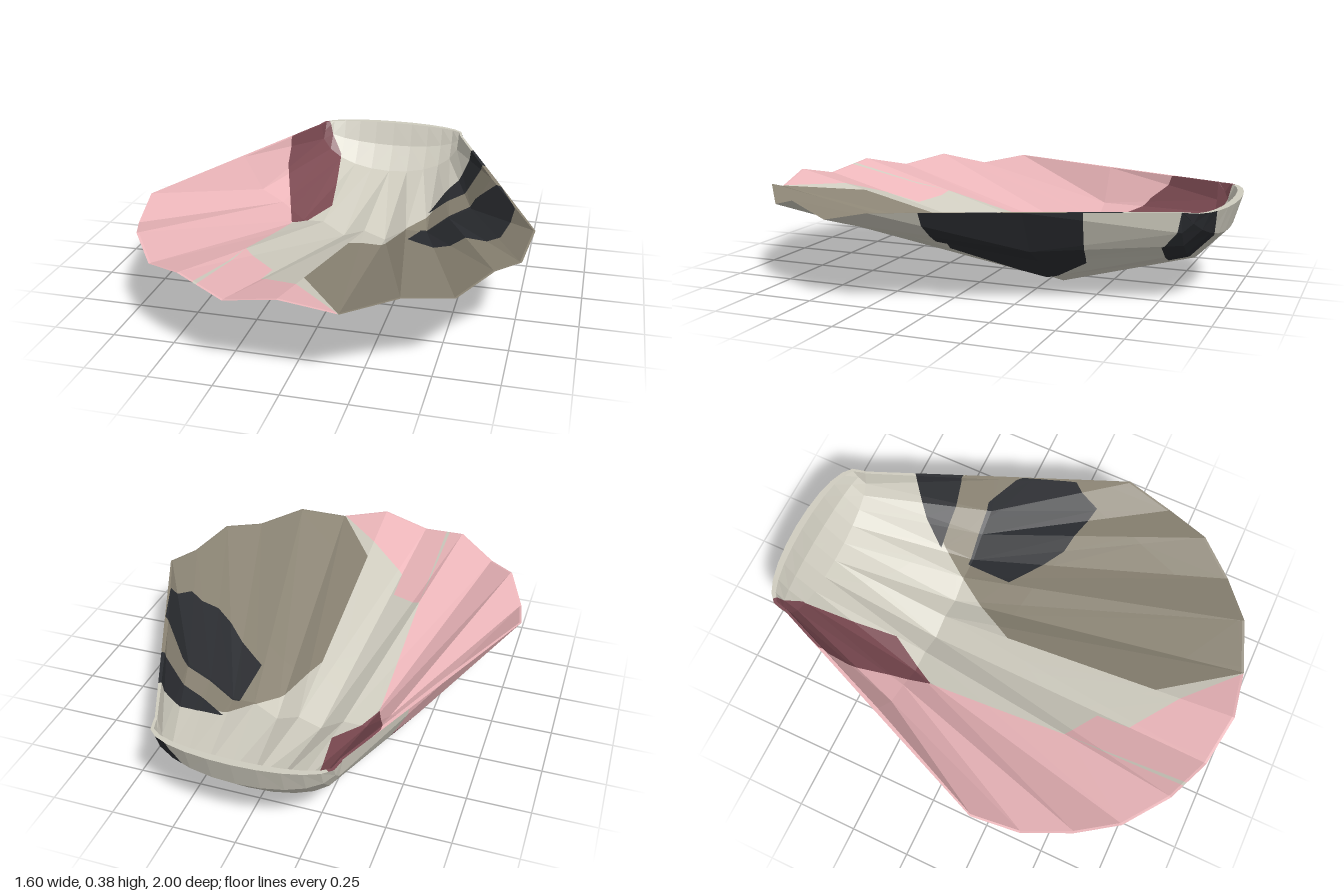
import * as THREE from 'three';

const COLORS = { cream: 0xcfccbf, khaki: 0x8b8474, navy: 0x2b2d31, pink: 0xecb6ba, wine: 0x7c4a52 };
const N = 6; // ribs on each side of the middle

// Colour patches as convex outlines in plan [x, z]; earlier ones lie on top
const INNER_PATCHES = [
  ['wine', [[-0.34, -0.93], [-0.25, -0.86], [-0.19, -0.45], [-0.32, -0.22], [-0.43, -0.54], [-0.44, -0.65]]],
  ['navy', [[0.26, -0.32], [0.5, -0.33], [0.62, -0.22], [0.7, 0], [0.66, 0.12], [0.45, 0.06], [0.24, -0.11]]],
  ['navy', [[0.27, -0.46], [0.34, -0.56], [0.45, -0.66], [0.56, -0.46]]],
  ['pink', [[-1, 1.1], [-1, -0.95], [-0.35, -0.92], [-0.3, -0.2], [-0.32, 0.4], [-0.32, 1.1]]],
  ['pink', [[-0.32, 0.4], [-0.18, 0.49], [-0.18, 1.1], [-0.32, 1.1]]],
  ['pink', [[-0.18, 0.63], [0, 0.77], [0.21, 0.97], [0.21, 1.1], [-0.18, 1.1]]],
  ['khaki', [[0, -0.05], [0.2, -0.33], [0.28, -0.46], [0.52, -0.46], [1, 0.2], [1, 1.1], [0.3, 1.1], [0.21, 0.97], [0, 0.77]]],
];
const OUTER_PATCHES = [
  ['navy', [[0.74, 0.04], [0.45, 0.04], [0.28, -0.3], [0.33, -0.48], [0.52, -0.52], [0.9, -0.05]]],
  ['navy', [[0.2, -0.77], [0.33, -0.77], [0.38, -0.9], [0.3, -0.97], [0.2, -0.94]]],
  ['wine', [[0, -0.05], [-0.2, 0.1], [-0.42, 0.02], [-0.5, -0.3], [-0.45, -0.5], [0, -0.42]]],
  ['pink', [[0, 1.1], [0, -0.35], [-0.3, -0.5], [-1, -0.5], [-1, 1.1]]],
];

// Rib points from the middle (0) to the side (6): scalloped lip and deepest section
const LIP = [[0, 0.375, 0.995], [0.21, 0.33, 0.965], [0.405, 0.375, 0.885], [0.575, 0.33, 0.755],
  [0.69, 0.375, 0.6], [0.77, 0.33, 0.41], [0.8, 0.375, 0.21]];
const BELLY = [[0, 0.037], [0.1, 0], [0.2, 0.065], [0.3, 0.063], [0.4, 0.15], [0.5, 0.21], [0.585, 0.375]];

// Outer cross-sections, front to back
function outerPoint(k, j) {
  const a = Math.abs(j), s = Math.sin(a * Math.PI / 12), c = Math.max(0, Math.cos(a * Math.PI / 12));
  const heel = new THREE.Vector3(0.36 * s, 0.375 - 0.235 * c ** 0.8, -0.85);
  const backRim = new THREE.Vector3(0.36 * s, 0.373, -0.86 - 0.14 * c ** 0.75);
  let p;
  if (k === 0) p = new THREE.Vector3(...LIP[a]);
  else if (k === 1) p = new THREE.Vector3(BELLY[a][0], BELLY[a][1], -0.31);
  else if (k === 2) p = heel;
  else if (k === 3) { p = heel.lerp(backRim, 0.5); p.z -= 0.04 * c; }
  else p = backRim;
  if (j < 0) p.x *= -1;
  return p;
}

// Inner cross-sections: the same rows, raised and drawn in by the wall thickness
function innerPoint(k, j) {
  const p = outerPoint(k, j), c = Math.cos(j * Math.PI / 12);
  if (k === 0) return p.set(p.x * 0.99, p.y, p.z * 0.99);
  p.x *= 0.97;
  if (k < 4) p.y += 0.03 * (1 - p.y / 0.375);
  if (k > 2) p.z += 0.03 * c;
  return p;
}

// Triangles of a ribbed sheet, mirrored about the middle
function sheet(point, up) {
  const tris = [];
  for (let k = 0; k < 4; k++) for (let j = -N; j < N; j++) {
    const a = point(k, j), b = point(k, j + 1), c = point(k + 1, j + 1), d = point(k + 1, j);
    const pair = j < 0 ? [[a, b, c], [a, c, d]] : [[a, b, d], [b, c, d]];
    for (const t of pair) tris.push(up ? t : t.reverse());
  }
  return tris;
}

// Narrow edge that joins the inside to the outside all the way round
function edgeBand() {
  const loop = [], tris = [];
  for (let j = -N; j < N; j++) loop.push([0, j]);
  for (let k = 0; k < 4; k++) loop.push([k, N]);
  for (let j = N; j > -N; j--) loop.push([4, j]);
  for (let k = 4; k > 0; k--) loop.push([k, -N]);
  loop.forEach((q, n) => {
    const r = loop[(n + 1) % loop.length];
    const a = outerPoint(...q), b = outerPoint(...r), c = innerPoint(...r), d = innerPoint(...q);
    tris.push([a, b, c], [a, c, d]);
  });
  return tris;
}

// Keep the part of a polygon where f >= 0
function clip(poly, f) {
  const out = [];
  poly.forEach((p, i) => {
    const q = poly[(i + 1) % poly.length], fp = f(p), fq = f(q);
    if (fp >= 0) out.push(p);
    if ((fp > 0 && fq < 0) || (fp < 0 && fq > 0)) out.push(p.clone().lerp(q, fp / (fp - fq)));
  });
  return out.length > 2 ? out : null;
}

// Cut one convex patch out of a list of polygons
function carve(polys, outline) {
  const cx = outline.reduce((s, p) => s + p[0], 0) / outline.length;
  const cz = outline.reduce((s, p) => s + p[1], 0) / outline.length;
  const inside = [], outside = [];
  for (const poly of polys) {
    let rest = poly;
    for (let i = 0; i < outline.length && rest; i++) {
      const [ax, az] = outline[i], [bx, bz] = outline[(i + 1) % outline.length];
      const line = (x, z) => (bx - ax) * (z - az) - (bz - az) * (x - ax);
      const sign = Math.sign(line(cx, cz));
      const cut = clip(rest, (p) => -sign * line(p.x, p.z));
      if (cut) outside.push(cut);
      rest = clip(rest, (p) => sign * line(p.x, p.z));
    }
    if (rest) inside.push(rest);
  }
  return [inside, outside];
}

// Split a surface into its colour patches, one mesh per colour
function patchedSurface(name, tris, patches, materials) {
  const group = new THREE.Group();
  group.name = name;
  const byColor = { cream: [], khaki: [], navy: [], pink: [], wine: [] };
  let rest = tris;
  for (const [color, outline] of patches) {
    const [inside, outside] = carve(rest, outline);
    byColor[color].push(...inside);
    rest = outside;
  }
  byColor.cream.push(...rest);
  for (const [color, polys] of Object.entries(byColor)) {
    const pts = [];
    for (const p of polys) for (let i = 1; i < p.length - 1; i++) pts.push(p[0], p[i], p[i + 1]);
    if (!pts.length) continue;
    const geometry = new THREE.BufferGeometry().setFromPoints(pts);
    geometry.computeVertexNormals();
    const mesh = new THREE.Mesh(geometry, materials[color]);
    mesh.name = `${name} ${color} patch`;
    group.add(mesh);
  }
  return group;
}

export function createModel() {
  const materials = {};
  for (const [key, color] of Object.entries(COLORS)) {
    materials[key] = new THREE.MeshStandardMaterial({ color, flatShading: true });
  }
  const model = new THREE.Group();
  model.name = 'shell';
  model.add(
    patchedSurface('outerShell', sheet(outerPoint, false), OUTER_PATCHES, materials),
    patchedSurface('innerShell', sheet(innerPoint, true), INNER_PATCHES, materials),
    patchedSurface('rim', edgeBand(), INNER_PATCHES, materials),
  );
  return model;
}
